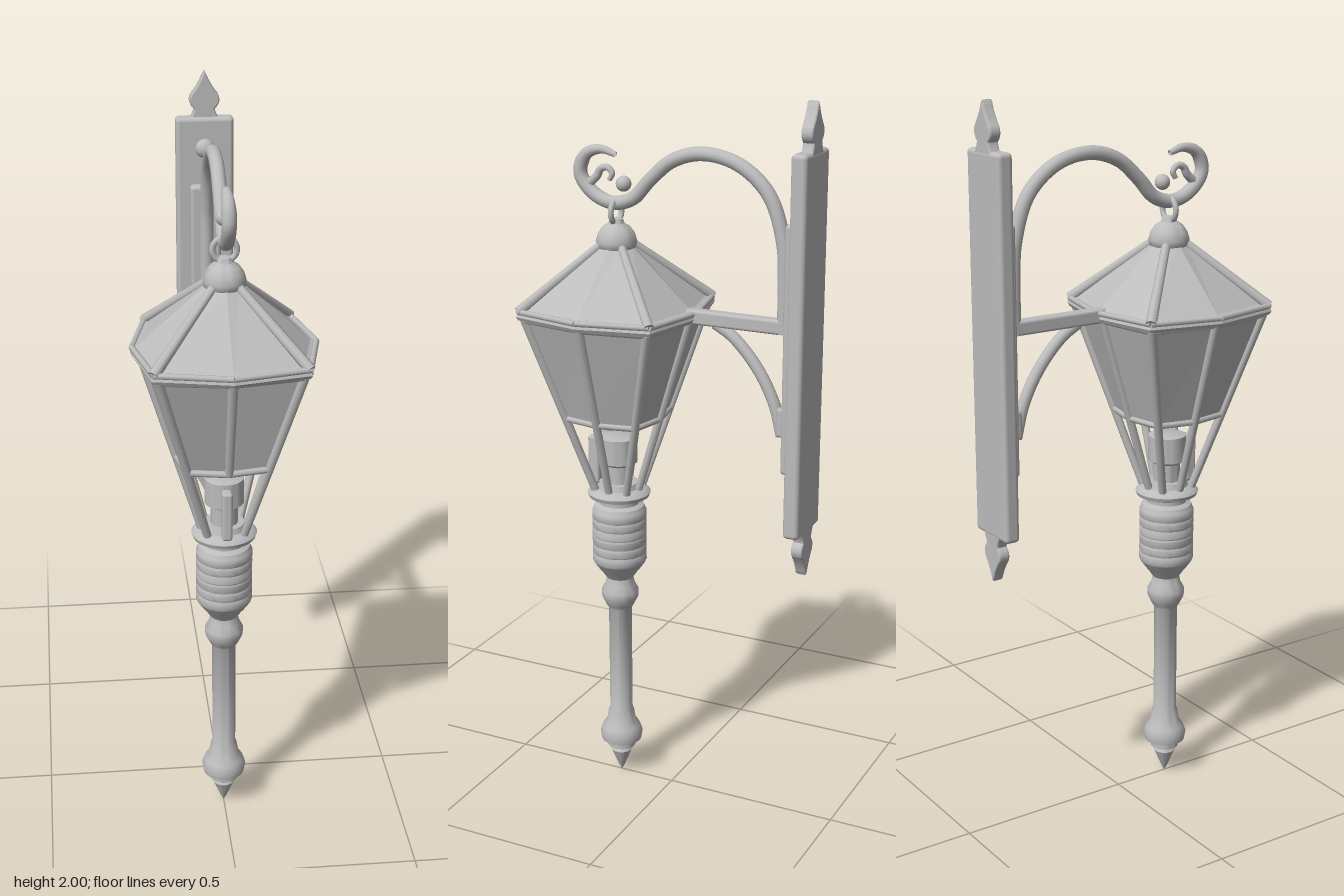
import * as THREE from 'three';
import { toCreasedNormals } from 'three/addons/utils/BufferGeometryUtils.js';
import { RoundedBoxGeometry } from 'three/addons/geometries/RoundedBoxGeometry.js';

const LZ = 0.165; // lantern axis
const V = (x, y, z) => new THREE.Vector3(x, y, z);

// Eight-sided ring: even points lie mid-side, odd points are the corners
function ring(y, mid, corner) {
  return Array.from({ length: 8 }, (_, i) => {
    const a = i * Math.PI / 4;
    const r = i % 2 ? corner * Math.SQRT2 : mid;
    return V(Math.sin(a) * r, y, Math.cos(a) * r);
  });
}

// Skin of flat quads between successive rings, listed from bottom to top
function loft(rings) {
  const pos = [];
  for (let k = 0; k + 1 < rings.length; k++) {
    const a = rings[k], b = rings[k + 1];
    for (let i = 0; i < 8; i++) {
      const j = (i + 1) % 8;
      for (const p of [a[i], a[j], b[j], a[i], b[j], b[i]]) pos.push(p.x, p.y, p.z);
    }
  }
  const g = new THREE.BufferGeometry();
  g.setAttribute('position', new THREE.Float32BufferAttribute(pos, 3));
  g.computeVertexNormals();
  return g;
}

// Round bar along side-view points [z, y], with a radius that follows a rule
function scrollTube(points, radius, segments = 64) {
  const curve = new THREE.CatmullRomCurve3(points.map(([z, y]) => V(0, y, z)));
  const g = new THREE.TubeGeometry(curve, segments, 1, 12, false);
  const p = g.attributes.position, v = V(0, 0, 0);
  for (let i = 0; i < p.count; i++) {
    const t = Math.floor(i / 13) / segments;
    const c = curve.getPointAt(t);
    v.fromBufferAttribute(p, i).sub(c).multiplyScalar(radius(t)).add(c);
    p.setXYZ(i, v.x, v.y, v.z);
  }
  return g;
}

function lathe(points) {
  const g = new THREE.LatheGeometry(points.map(([r, y]) => new THREE.Vector2(r, y)), 32);
  return toCreasedNormals(g, 0.7);
}

export function createModel() {
  const iron = new THREE.MeshStandardMaterial({ color: 0xbcbcbc, side: THREE.DoubleSide });
  iron.name = 'grey iron';
  const model = new THREE.Group();
  model.name = 'wallLantern';
  const lantern = new THREE.Group();
  lantern.name = 'lantern';
  lantern.position.z = LZ;
  model.add(lantern);

  const add = (parent, name, geometry, x = 0, y = 0, z = 0) => {
    const m = new THREE.Mesh(geometry, iron);
    m.name = name;
    m.position.set(x, y, z);
    parent.add(m);
    return m;
  };
  const bar = (parent, name, a, b, r, r2 = r) => {
    const m = add(parent, name, new THREE.CylinderGeometry(r2, r, a.distanceTo(b), 8));
    m.position.copy(a).lerp(b, 0.5);
    m.quaternion.setFromUnitVectors(V(0, 1, 0), b.clone().sub(a).normalize());
    return m;
  };

  // Turned stem with pointed tip
  add(lantern, 'stem', lathe([
    [0, 0], [0.008, 0.015], [0.031, 0.07], [0.026, 0.078], [0.04, 0.085], [0.04, 0.1],
    [0.058, 0.108], [0.062, 0.13], [0.055, 0.15], [0.042, 0.17], [0.037, 0.2], [0.033, 0.21],
    [0.033, 0.53], [0.04, 0.54], [0.052, 0.565], [0.053, 0.585], [0.042, 0.605],
    [0.038, 0.625], [0.052, 0.645], [0.06, 0.655], [0.074, 0.675]]));

  // Ribbed grip
  const grip = [[0.074, 0.675]];
  for (let i = 0; i < 6; i++) {
    const y = 0.678 + i * 0.026;
    grip.push([0.077, y + 0.004], [0.077, y + 0.021], [0.0745, y + 0.0255]);
  }
  grip.push([0.07, 0.845], [0.056, 0.852], [0.056, 0.863], [0.085, 0.874], [0.089, 0.885],
    [0.08, 0.896], [0.06, 0.9], [0.055, 0.915], [0, 0.915]);
  add(lantern, 'grip', lathe(grip));

  // Candle holder and small front stub
  add(lantern, 'candle', lathe([[0.037, 0.9], [0.037, 0.965], [0.053, 0.975], [0.053, 1.047],
    [0.045, 1.05], [0, 1.05]]));
  add(lantern, 'frontStub', new RoundedBoxGeometry(0.028, 0.14, 0.035, 2, 0.008), 0, 0.97, 0.075);

  // Glass panes, open beneath; the front pane lies flat behind its mid bar
  const frameRing = (y) => {
    const t = (y - 0.9) / 0.5;
    return ring(y, 0.062 + t * 0.152, 0.05 + t * 0.132);
  };
  const low = frameRing(1.115), high = frameRing(1.405);
  const glassLow = low.map(p => p.clone()), glassHigh = high.map(p => p.clone());
  glassLow[0].z = low[1].z;
  glassHigh[0].z = high[1].z;
  add(lantern, 'glass', loft([glassLow, glassHigh]));

  // Cage bars and the rails around the glass
  const foot = frameRing(0.89);
  for (let i = 0; i < 8; i++) {
    const j = (i + 1) % 8;
    bar(lantern, i % 2 ? 'cornerBar' : 'midBar', i === 0 ? low[i] : foot[i], high[i], 0.011, 0.013);
    bar(lantern, 'lowerRail', low[i], low[j], 0.009);
    bar(lantern, 'upperRail', high[i], high[j], 0.012);
  }

  // Roof with a lipped eave
  const eave = ring(1.426, 0.238, 0.195);
  const crown = ring(1.59, 0.046, 0.033);
  add(lantern, 'roof', loft([ring(1.405, 0.2, 0.17), ring(1.403, 0.238, 0.196),
    ring(1.412, 0.243, 0.2), eave, ring(1.432, 0.222, 0.182), crown]));
  for (let i = 0; i < 8; i++) {
    bar(lantern, 'eaveRim', eave[i], eave[(i + 1) % 8], 0.008);
    if (i % 2) bar(lantern, 'roofRidge', eave[i], crown[i], 0.015, 0.012);
  }

  // Finial and hanging ring
  add(lantern, 'finial', lathe([[0.04, 1.57], [0.053, 1.585], [0.056, 1.6], [0.05, 1.62],
    [0.038, 1.638], [0.022, 1.648], [0.018, 1.66], [0, 1.665]]));
  add(lantern, 'hangingRing', new THREE.TorusGeometry(0.031, 0.008, 10, 28), 0, 1.68, 0);

  // Scrolled hanger
  add(model, 'hanger', scrollTube([
    [-0.325, 1.40], [-0.325, 1.52], [-0.318, 1.64], [-0.275, 1.76], [-0.19, 1.83],
    [-0.085, 1.85], [0, 1.825], [0.065, 1.77], [0.115, 1.718], [0.175, 1.702],
    [0.235, 1.725], [0.272, 1.775], [0.255, 1.825], [0.21, 1.842], [0.165, 1.83]],
  t => 0.019 * (t > 0.9 ? 1 - (t - 0.9) * 6 : 1), 110));
  add(model, 'innerCurl', scrollTube([[0.25, 1.745], [0.222, 1.77], [0.21, 1.79],
    [0.19, 1.795], [0.176, 1.78], [0.185, 1.762]], t => 0.013 - 0.006 * t, 30));
  add(model, 'scrollBall', new THREE.SphereGeometry(0.021, 16, 12), 0, 1.755, 0.142);

  // Support arm and curved brace
  add(model, 'arm', new RoundedBoxGeometry(0.036, 0.04, 0.36, 2, 0.008), 0, 1.418, -0.17);
  add(model, 'brace', scrollTube([[-0.13, 1.405], [-0.18, 1.375], [-0.25, 1.3],
    [-0.3, 1.21], [-0.325, 1.12]], () => 0.016, 30));
  add(model, 'braceFoot', new RoundedBoxGeometry(0.04, 0.08, 0.03, 2, 0.008), 0, 1.16, -0.33);

  // Wall plate, raised strip and studs
  add(model, 'wallPlate', new RoundedBoxGeometry(0.16, 1.02, 0.044, 3, 0.012), 0, 1.37, -0.386);
  add(model, 'raisedStrip', new RoundedBoxGeometry(0.085, 0.67, 0.035, 3, 0.01), 0, 1.36, -0.355);
  for (const y of [1.795, 1.065 - 0.06, 0.93]) {
    const stud = add(model, 'stud', new THREE.SphereGeometry(0.027, 16, 12), 0, y, -0.364);
    stud.scale.z = 0.85;
  }

  // Pointed ends of the plate, mirrored top and bottom
  const s = new THREE.Shape();
  s.moveTo(-0.05, -0.02);
  s.lineTo(0.05, -0.02);
  s.quadraticCurveTo(0.026, 0.01, 0.024, 0.03);
  s.quadraticCurveTo(0.044, 0.045, 0.034, 0.065);
  s.quadraticCurveTo(0.01, 0.095, 0, 0.125);
  s.quadraticCurveTo(-0.01, 0.095, -0.034, 0.065);
  s.quadraticCurveTo(-0.044, 0.045, -0.024, 0.03);
  s.quadraticCurveTo(-0.026, 0.01, -0.05, -0.02);
  const spike = new THREE.ExtrudeGeometry(s, { depth: 0.02, bevelSize: 0.004,
    bevelThickness: 0.006, bevelSegments: 2, curveSegments: 8 });
  add(model, 'topSpike', spike, 0, 1.873, -0.401);
  const bottom = add(model, 'bottomSpike', spike, 0, 0.864, -0.381);
  bottom.rotation.x = Math.PI;
  return model;
}
